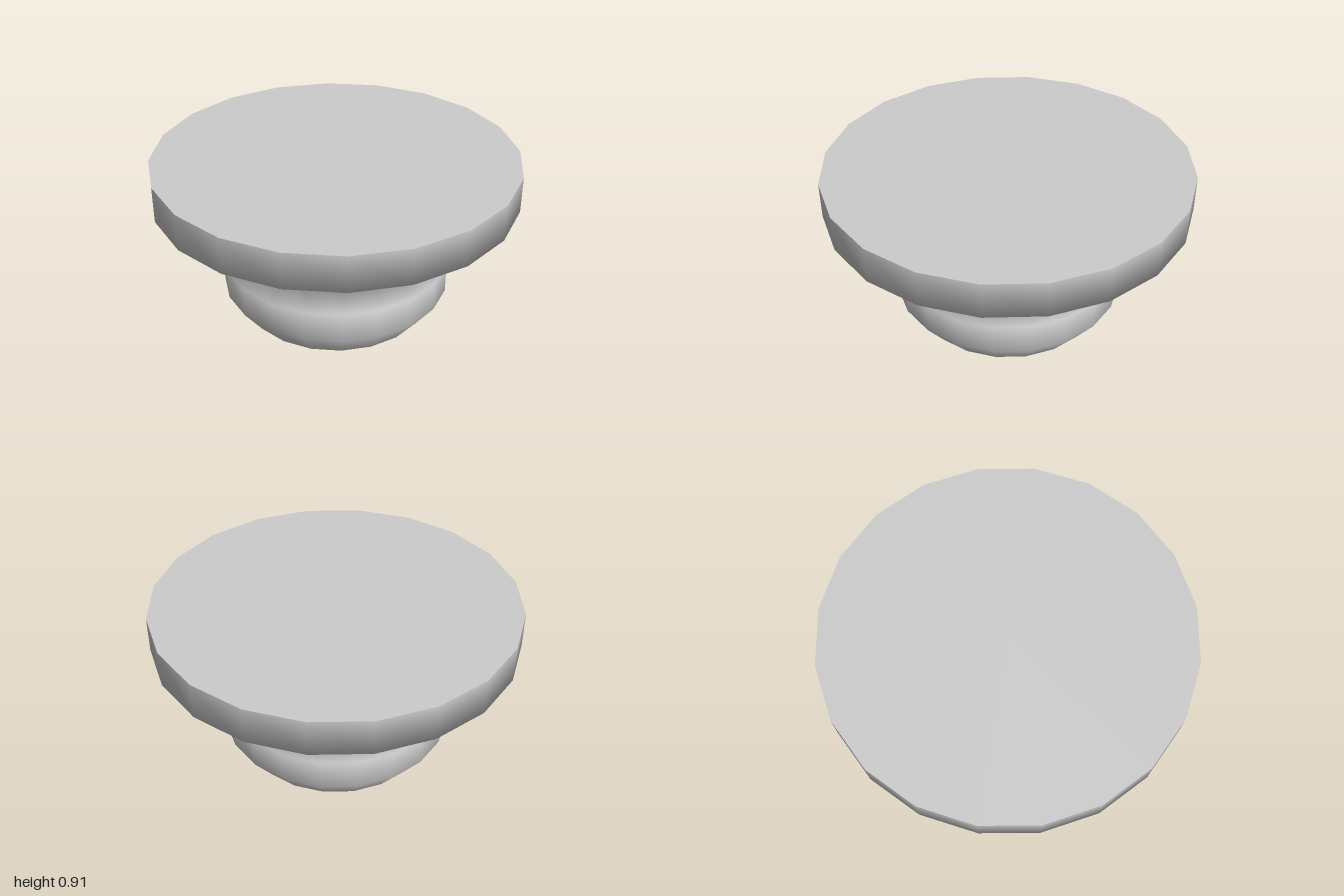
import * as THREE from 'three';

const SIDES = 20;
const HEIGHT = 0.91;

// Radius and height of each ring, from the foot up to the rim
const PROFILE = [
  [0.525, 0], [0.635, 0.145], [0.635, 0.315],
  [0.525, 0.48], [1, 0.71], [1, HEIGHT],
];

export function createModel() {
  const group = new THREE.Group();
  group.name = 'knob';
  const material = new THREE.MeshStandardMaterial({ color: 0xcccccc });

  const add = (name, geometry) => {
    const mesh = new THREE.Mesh(geometry, material);
    mesh.name = name;
    group.add(mesh);
    return mesh;
  };

  // Smooth turned side: bulging foot, narrow waist and flared head
  add('turnedBody', new THREE.LatheGeometry(PROFILE.map(([r, y]) => new THREE.Vector2(r, y)), SIDES));

  // Flat discs closing the top and the bottom with sharp edges
  const top = add('topFace', new THREE.CircleGeometry(1, SIDES).rotateX(-Math.PI / 2));
  top.position.y = HEIGHT;
  add('bottomFace', new THREE.CircleGeometry(PROFILE[0][0], SIDES).rotateX(Math.PI / 2));

  return group;
}
